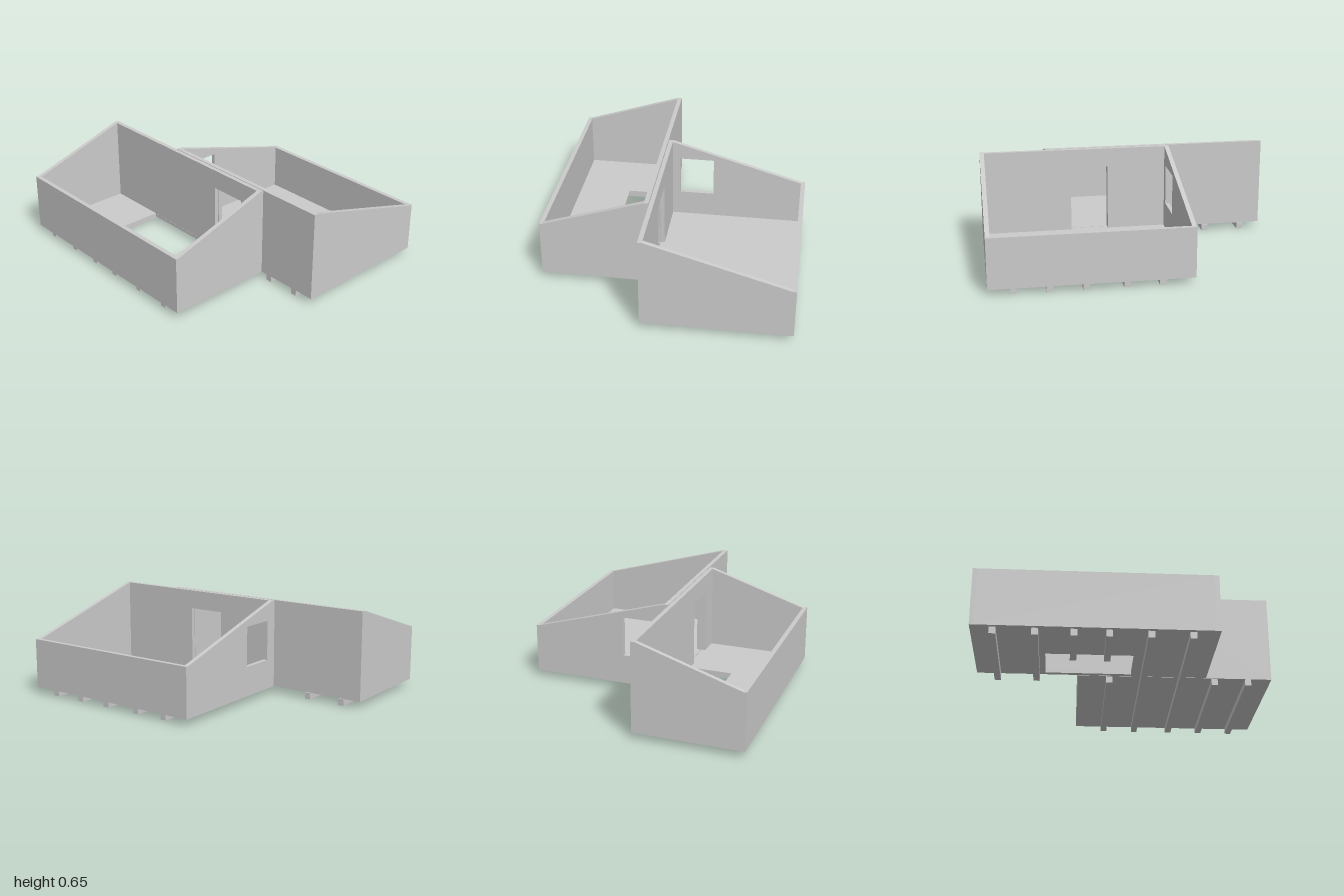
import * as THREE from 'three';

const T = 0.03;         // wall thickness
const BASE = 0.045;     // underside of the floor
const FLOOR_TOP = 0.07;
const PEAK = 0.655;     // top of the tall walls

const material = new THREE.MeshStandardMaterial({ color: 0xcccccc });

function polygon(points) {
  return new THREE.Shape(points.map(([x, y]) => new THREE.Vector2(x, y)));
}

function rect(x0, x1, y0, y1) {
  return polygon([[x0, y0], [x1, y0], [x1, y1], [x0, y1]]);
}

function slab(shape, holes, depth) {
  shape.holes.push(...holes);
  return new THREE.ExtrudeGeometry(shape, { depth, bevelEnabled: false });
}

function add(group, name, geometry) {
  const mesh = new THREE.Mesh(geometry, material);
  mesh.name = name;
  group.add(mesh);
}

// One open-topped room: tall wall at xTall, low wall at xLow, sloping end walls.
function room({ name, xTall, xLow, lowTop, z0, z1, door, backWindow, floorHole, joists }) {
  const group = new THREE.Group();
  group.name = name;
  const s = Math.sign(xLow - xTall);
  const x0 = Math.min(xTall, xLow), x1 = Math.max(xTall, xLow);

  // End walls follow the roof slope, level over the side walls
  const outline = () => polygon([
    [xTall, BASE], [xLow, BASE], [xLow, lowTop], [xLow - s * T * 0.7, lowTop],
    [xTall + s * T, PEAK], [xTall, PEAK],
  ]);
  add(group, 'backWall', slab(outline(), backWindow ? [rect(...backWindow)] : [], T).translate(0, 0, z0));
  add(group, 'frontWall', slab(outline(), [], T).translate(0, 0, z1 - T));

  // Side walls, drawn in z and y
  const side = (x, top, holes) =>
    slab(rect(z0 + T, z1 - T, BASE, top), holes, T).rotateY(-Math.PI / 2).translate(x + T, 0, 0);
  add(group, 'doorWall', side(s > 0 ? x0 : x1 - T, PEAK, [rect(...door)]));
  add(group, 'lowWall', side(s > 0 ? x1 - T : x0, lowTop, []));

  // Floor, drawn in x and z
  const floor = slab(rect(x0 + T, x1 - T, z0 + T, z1 - T), floorHole ? [rect(...floorHole)] : [], FLOOR_TOP - BASE);
  add(group, 'floor', floor.rotateX(Math.PI / 2).translate(0, FLOOR_TOP, 0));

  // Joists under the floor
  for (const [z, a, b] of joists) {
    add(group, 'joist', new THREE.BoxGeometry(b - a, BASE, 0.042).translate((a + b) / 2, BASE / 2, z));
  }
  return group;
}

export function createModel() {
  const model = new THREE.Group();
  model.name = 'twoRoomCabin';
  const door = [0.115, 0.375, FLOOR_TOP, 0.525];

  model.add(room({
    name: 'rightRoom', xTall: -0.12, xLow: 0.86, lowTop: 0.385, z0: -0.32, z1: 1,
    door, backWindow: [-0.035, 0.205, 0.25, 0.525],
    joists: [0.84, 0.61, 0.38, 0.12, -0.11].map((z) => [z, -0.115, 0.838]),
  }));

  // The stairwell opening cuts two of the joists short
  model.add(room({
    name: 'leftRoom', xTall: -0.125, xLow: -0.862, lowTop: 0.435, z0: -1, z1: 0.55,
    door, floorHole: [-0.46, -0.156, -0.54, 0.035],
    joists: [-0.86, -0.6, -0.36, -0.14, 0.12, 0.38].map(
      (z) => [z, -0.838, z > -0.5 && z < 0 ? -0.46 : -0.115]),
  }));
  return model;
}
